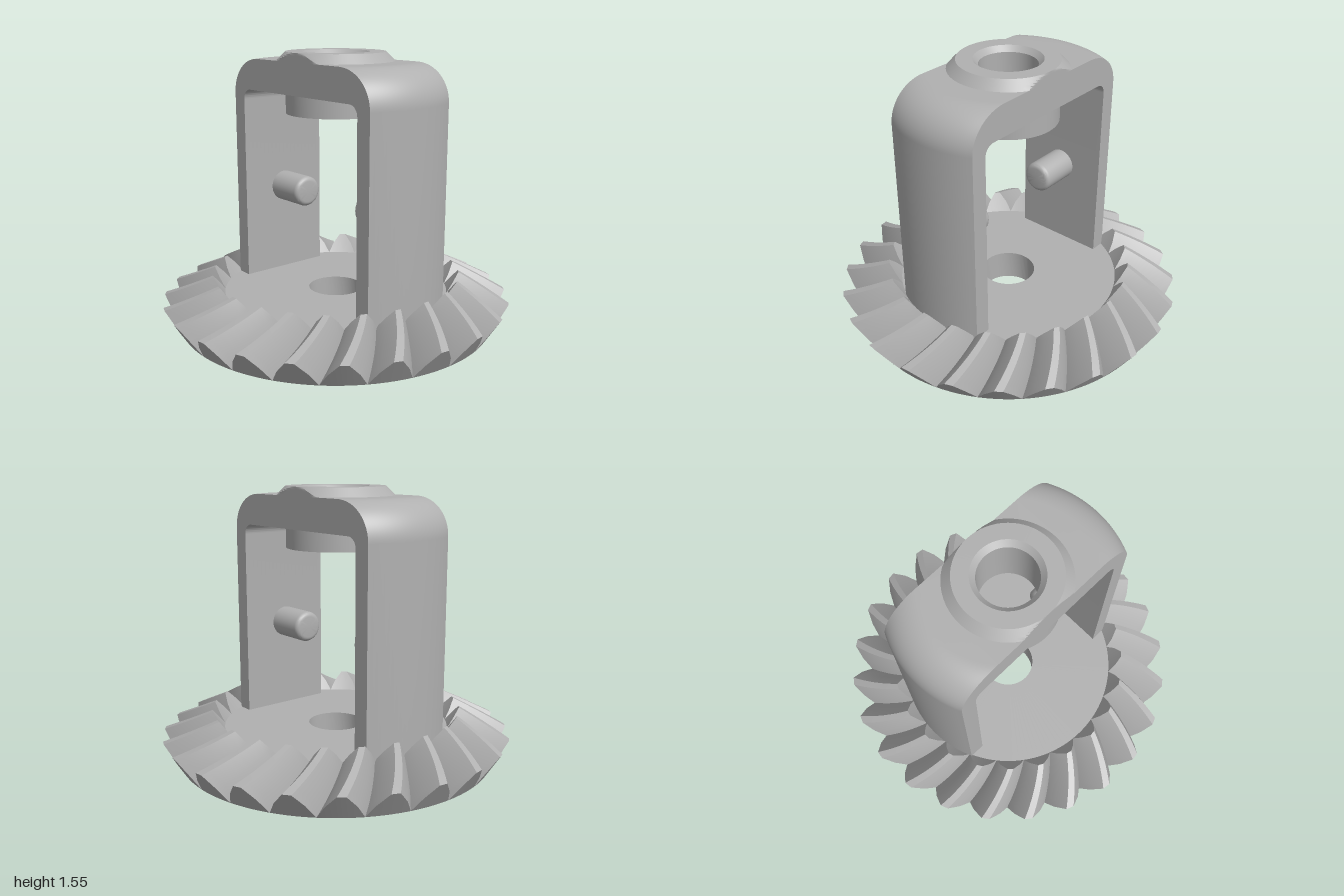
import * as THREE from 'three';
import { toCreasedNormals } from 'three/addons/utils/BufferGeometryUtils.js';

const steel = new THREE.MeshStandardMaterial({ color: 0xb0b0b0 });
steel.name = 'steel grey';

function part(name, geometry, crease = 0.5) {
  const mesh = new THREE.Mesh(toCreasedNormals(geometry, crease), steel);
  mesh.name = name;
  return mesh;
}

const lathe = (points, segments) =>
  new THREE.LatheGeometry(points.map(([r, y]) => new THREE.Vector2(r, y)), segments);

// Spiral bevel gear: closed rings running up the rim, in over the teeth,
// down the bore and back out along the underside.
function gearGeometry() {
  const teeth = 24, apex = 0.63, inner = 0.715, steps = 8;
  const twist = THREE.MathUtils.degToRad(9);
  // [fraction of pitch, height] across one tooth
  const tooth = [[-0.5, 0], [-0.32, 0.52], [-0.09, 1], [0.09, 1], [0.32, 0.52]];
  const rows = [];
  // tooth section shrunk toward the cone apex by t
  const ring = (t, k) => (h) => ({
    r: (0.905 + 0.095 * h * k) * t,
    y: apex + (0.15 * h * k - apex) * t,
    a: twist * (1 - t) / (1 - inner),
  });
  rows.push(ring(1, 0));
  for (let i = 0; i <= steps; i++) rows.push(ring(1 - (1 - inner) * i / steps, 1));
  rows.push(ring(inner, 0));
  rows.push(() => ({ r: 0.157, y: 0.18, a: twist }));
  rows.push(() => ({ r: 0.157, y: 0, a: 0 }));
  rows.push(ring(1, 0));

  const positions = [], index = [], columns = teeth * tooth.length;
  for (const row of rows) {
    for (let j = 0; j < columns; j++) {
      const [offset, h] = tooth[j % tooth.length];
      const { r, y, a } = row(h);
      const angle = (Math.floor(j / tooth.length) + 0.5 + offset) / teeth * Math.PI * 2 + a;
      positions.push(r * Math.sin(angle), y, r * Math.cos(angle));
    }
  }
  for (let i = 0; i < rows.length - 1; i++) {
    for (let j = 0; j < columns; j++) {
      const a = i * columns + j, b = i * columns + (j + 1) % columns;
      index.push(a, b, a + columns, b, b + columns, a + columns);
    }
  }
  const geometry = new THREE.BufferGeometry();
  geometry.setAttribute('position', new THREE.Float32BufferAttribute(positions, 3));
  geometry.setIndex(index);
  return geometry;
}

// Bracket arm: flat inside, its outer surface rounded about the gear axis
function armGeometry() {
  const shape = new THREE.Shape();
  shape.moveTo(0.34, 1.32);
  shape.lineTo(0.44, 1.32);
  shape.absarc(0.44, 1.26, 0.06, Math.PI / 2, 0, true);
  shape.lineTo(0.5, 0.1);
  shape.lineTo(0.655, 0.1);
  shape.lineTo(0.655, 1.295);
  shape.absarc(0.45, 1.295, 0.205, 0, Math.PI / 2, false);
  shape.lineTo(0.34, 1.5);
  const geometry = new THREE.ExtrudeGeometry(shape, {
    depth: 0.56, steps: 20, curveSegments: 12, bevelEnabled: false,
  });
  geometry.translate(0, 0, -0.28).rotateY(-Math.PI / 2);
  const p = geometry.attributes.position;
  for (let i = 0; i < p.count; i++) {
    const x = p.getX(i), y = p.getY(i), z = p.getZ(i);
    const outside = z > 0.6 || (y > 1.33 && z > 0.4);
    if (outside) p.setZ(i, Math.sqrt(z * z - x * x));
  }
  return geometry;
}

// Middle of the bracket's top, pierced for the bearing
function bridgeGeometry() {
  const shape = new THREE.Shape();
  shape.moveTo(-0.28, -0.34);
  shape.lineTo(0.28, -0.34);
  shape.lineTo(0.28, 0.34);
  shape.lineTo(-0.28, 0.34);
  shape.closePath();
  shape.holes.push(new THREE.Path().absarc(0, 0, 0.2, 0, Math.PI * 2, true));
  const geometry = new THREE.ExtrudeGeometry(shape, {
    depth: 0.18, curveSegments: 32, bevelEnabled: false,
  });
  return geometry.rotateX(-Math.PI / 2).translate(0, 1.32, 0);
}

// Bearing collar: chamfered top trimmed flush with the bracket's sides
function collarGeometry() {
  const points = [[0.16, 1.21], [0.28, 1.21], [0.28, 1.5]];
  for (let i = 0; i <= 6; i++) points.push([0.33 - 0.05 * i / 6, 1.5 + 0.05 * i / 6]);
  points.push([0.19, 1.55], [0.16, 1.52], [0.16, 1.21]);
  const geometry = lathe(points, 96);
  const p = geometry.attributes.position;
  for (let i = 0; i < p.count; i++) {
    p.setX(i, THREE.MathUtils.clamp(p.getX(i), -0.28, 0.28));
  }
  return geometry;
}

// Stub pin with a rounded end, pointing inward from the arm
function pinGeometry() {
  const points = [[0.09, -0.02], [0.09, 0.217]];
  for (let i = 1; i <= 5; i++) {
    const a = i / 5 * Math.PI / 2;
    points.push([0.062 + 0.028 * Math.cos(a), 0.217 + 0.028 * Math.sin(a)]);
  }
  points.push([0, 0.245]);
  return lathe(points, 40).rotateX(-Math.PI / 2).translate(0, 0.705, 0.5);
}

export function createModel() {
  const model = new THREE.Group();
  model.name = 'bevelGearWithBracket';
  model.add(part('bevelGear', gearGeometry()));

  const bracket = new THREE.Group();
  bracket.name = 'bracket';
  bracket.add(part('bridge', bridgeGeometry()), part('bearingCollar', collarGeometry()));
  for (const [side, turn] of [['front', 0], ['back', Math.PI]]) {
    const half = new THREE.Group();
    half.name = side + 'Half';
    half.add(part(side + 'Arm', armGeometry()), part(side + 'Pin', pinGeometry()));
    half.rotation.y = turn;
    bracket.add(half);
  }
  model.add(bracket);
  return model;
}
